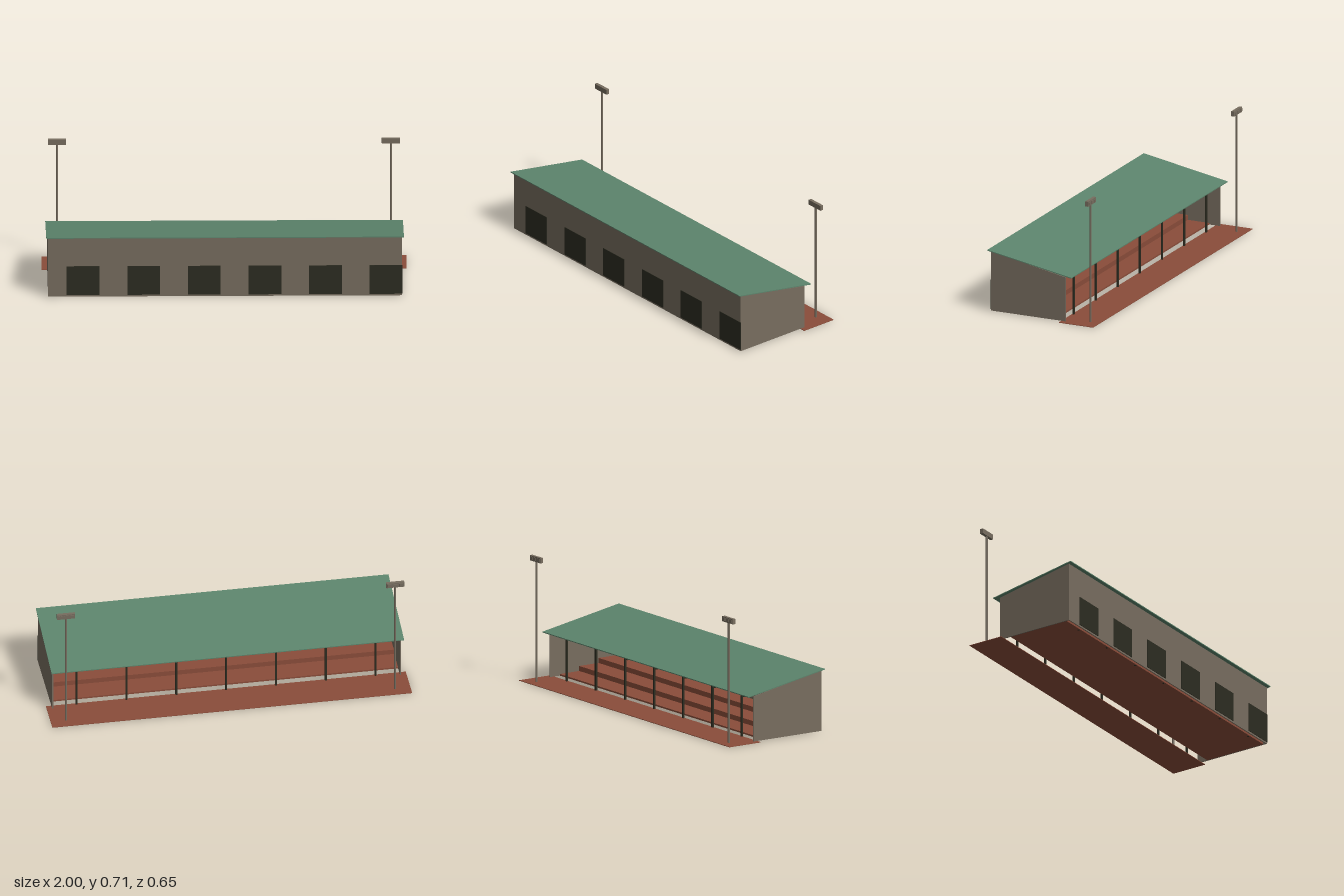
import * as THREE from 'three';

const material = (name, color) => {
  const m = new THREE.MeshStandardMaterial({ color });
  m.name = name;
  return m;
};

export function createModel() {
  const wall = material('stone beige', 0x776d5f);
  const roofGreen = material('roof green', 0x5c846c);
  const brick = material('brick red', 0x8a4d3a);
  const dark = material('dark olive', 0x2c2c21);

  const model = new THREE.Group();
  model.name = 'grandstand';

  // Box given by its limits on each axis
  const box = (name, mat, [x0, x1], [y0, y1], [z0, z1], parent = model) => {
    const mesh = new THREE.Mesh(new THREE.BoxGeometry(x1 - x0, y1 - y0, z1 - z0), mat);
    mesh.position.set((x0 + x1) / 2, (y0 + y1) / 2, (z0 + z1) / 2);
    mesh.name = name;
    parent.add(mesh);
  };

  // Profile of [z, y] points extruded along x
  const prism = (name, mat, points, x0, x1) => {
    const shape = new THREE.Shape(points.map(([z, y]) => new THREE.Vector2(-z, y)));
    const geo = new THREE.ExtrudeGeometry(shape, { depth: x1 - x0, bevelEnabled: false });
    geo.rotateY(Math.PI / 2);
    geo.translate(x0, 0, 0);
    const mesh = new THREE.Mesh(geo, mat);
    mesh.name = name;
    model.add(mesh);
  };

  // Underside of the sloping roof
  const roofY = z => 0.347 + (z - 0.327) * 0.178;

  // Apron in front of the seating
  box('apron', brick, [-1, 1], [0, 0.003], [-0.327, -0.118]);

  // Walls: a tall one and two sloping ends
  box('frontWall', wall, [-0.97, 0.97], [0.003, 0.342], [0.304, 0.31]);
  const end = [[0.31, 0.003], [0.31, 0.343], [-0.145, 0.255], [-0.145, 0.003]];
  prism('leftEndWall', wall, end, 0.964, 0.97);
  prism('rightEndWall', wall, end, -0.97, -0.964);

  // Roof sheet
  prism('roof', roofGreen, [
    [0.327, roofY(0.327)], [0.327, roofY(0.327) + 0.005],
    [-0.184, roofY(-0.184) + 0.005], [-0.184, roofY(-0.184)],
  ], -0.98, 0.98);

  // Doors
  for (let i = 0; i < 6; i++) {
    const x = -0.778 + i * 0.332;
    box('door', dark, [x - 0.09, x + 0.09], [0.013, 0.18], [0.309, 0.313]);
  }

  // Stepped seating
  const tiers = [[-0.08, 0.012], [0.05, 0.04], [0.18, 0.068]];
  tiers.forEach(([z, top], i) => {
    const back = i < 2 ? tiers[i + 1][0] : 0.29;
    box('seatingTier', brick, [-0.964, 0.964], [0.003, top], [z, back]);
  });

  // Roof posts along the open side and along the wall
  for (const z of [-0.126, 0.28]) {
    for (let i = -3; i <= 3; i++) {
      const x = i * 0.277;
      box('roofPost', dark, [x - 0.005, x + 0.005], [0.001, roofY(z)], [z - 0.005, z + 0.005]);
    }
  }

  // Floodlights
  for (const side of [-1, 1]) {
    const light = new THREE.Group();
    light.name = 'floodlight';
    light.position.x = side * 0.915;
    model.add(light);
    const pole = new THREE.Mesh(new THREE.CylinderGeometry(0.006, 0.006, 0.682, 8), wall);
    pole.position.set(0, 0.344, -0.271);
    pole.name = 'pole';
    light.add(pole);
    box('lampBar', wall, [-0.05, 0.05], [0.678, 0.707], [-0.28, -0.262], light);
    for (const x of [-0.032, 0, 0.032]) {
      box('lamp', wall, [x - 0.011, x + 0.011], [0.684, 0.701], [-0.284, -0.28], light);
    }
  }

  return model;
}
